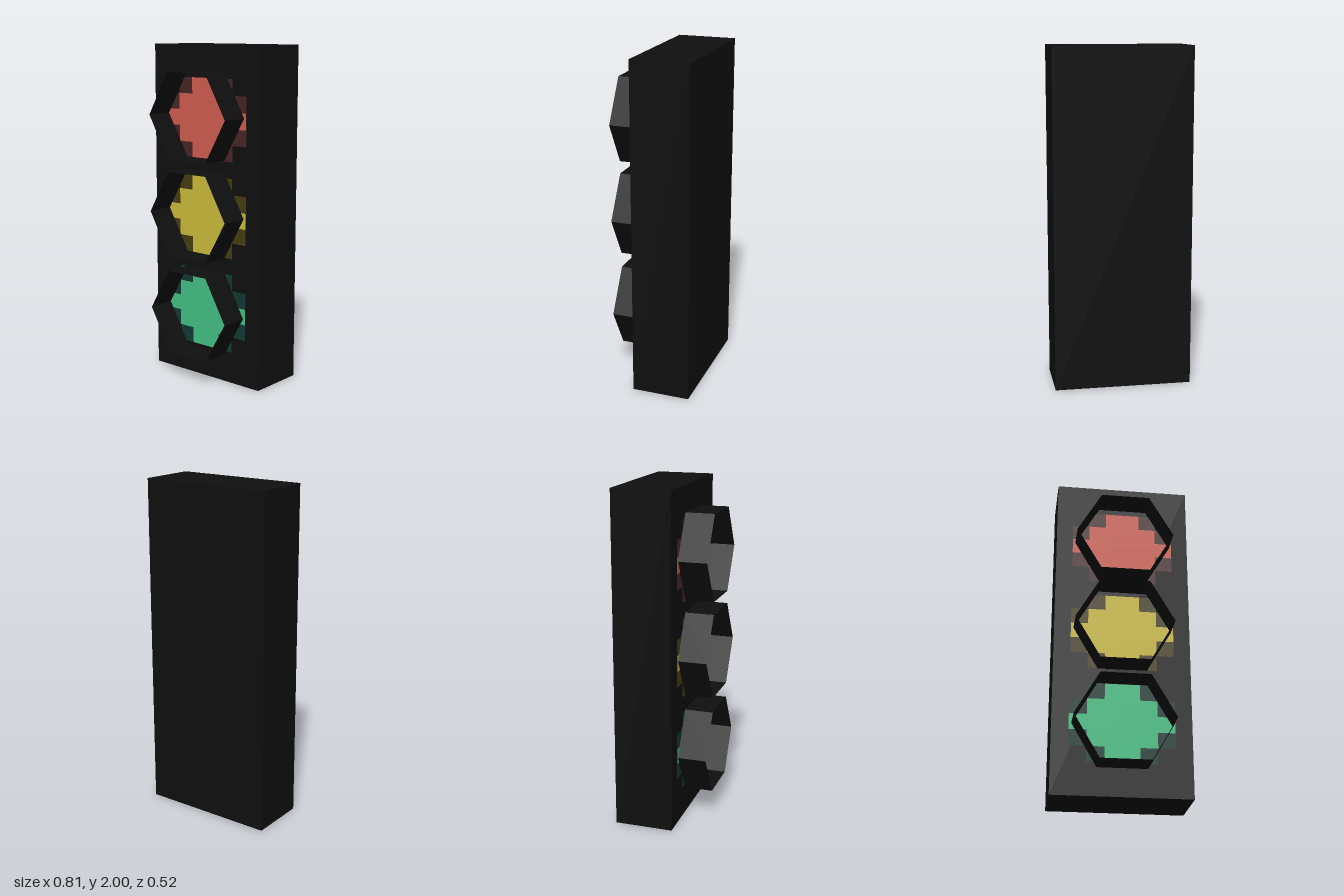
import * as THREE from 'three';
import { mergeGeometries } from 'three/addons/utils/BufferGeometryUtils.js';

const FRONT = 0.088, BACK = -0.26, HOOD_FRONT = 0.26;
const CELL_W = 0.102, CELL_H = 0.0952;

function material(name, color, extra = {}) {
  const m = new THREE.MeshStandardMaterial({ color, ...extra });
  m.name = name;
  return m;
}

function part(name, geometry, mat) {
  const mesh = new THREE.Mesh(geometry, mat);
  mesh.name = name;
  return mesh;
}

// Stepped disc: one flat strip per row, widths counted in cells
function steppedDisc(widths) {
  return mergeGeometries(widths.map((w, i) =>
    new THREE.PlaneGeometry(w * CELL_W, CELL_H)
      .translate(0, ((widths.length - 1) / 2 - i) * CELL_H, 0)));
}

export function createModel() {
  const model = new THREE.Group();
  model.name = 'trafficLight';
  const black = material('black', 0x0f0f0f, { side: THREE.DoubleSide, flatShading: true });

  // Housing
  const housing = part('housing', new THREE.BoxGeometry(0.81, 2, FRONT - BACK), black);
  housing.position.set(0, 1, (FRONT + BACK) / 2);
  model.add(housing);

  const lamps = [
    { name: 'red', y: 1.573, hoodY: 1.593, light: 0xd05d4f, dark: 0x482626 },
    { name: 'yellow', y: 1.001, hoodY: 1.014, light: 0xccbc3a, dark: 0x473d11 },
    { name: 'green', y: 0.429, hoodY: 0.418, light: 0x43c084, dark: 0x113933 },
  ];

  // Thin open hexagonal hood, corners pointing sideways
  const depth = HOOD_FRONT - FRONT;
  const hoodGeometry = new THREE.CylinderGeometry(0.291, 0.291, depth, 6, 1, true, Math.PI / 2)
    .rotateX(Math.PI / 2);
  const rimGeometry = steppedDisc([4, 6, 6, 6, 4]);
  const lensGeometry = steppedDisc([2, 4, 6, 4, 2]);

  for (const { name, y, hoodY, light, dark } of lamps) {
    const lamp = new THREE.Group();
    lamp.name = `${name}Lamp`;

    // Dark rim behind the bright lens
    const rim = part(`${name}Rim`, rimGeometry, material(`dark ${name}`, dark));
    rim.position.set(0, y, FRONT + 0.002);
    const lens = part(`${name}Lens`, lensGeometry, material(name, light));
    lens.position.set(0, y, FRONT + 0.004);

    const hood = part(`${name}Hood`, hoodGeometry, black);
    hood.position.set(0, hoodY, FRONT + depth / 2);

    lamp.add(rim, lens, hood);
    model.add(lamp);
  }
  return model;
}
